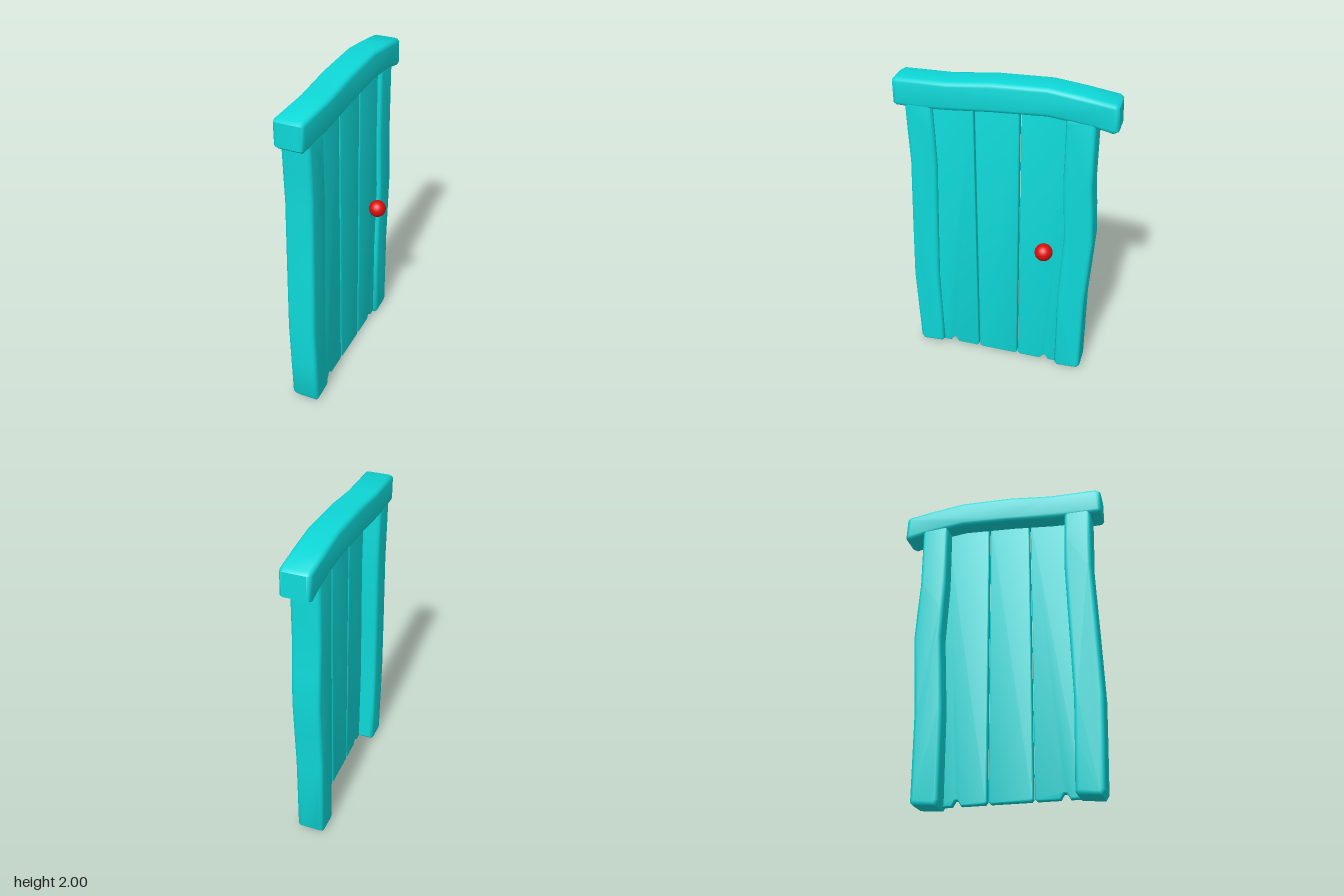
import * as THREE from 'three';
import { toCreasedNormals } from 'three/addons/utils/BufferGeometryUtils.js';

const wood = new THREE.MeshStandardMaterial({ color: 0x0ed8d8 });
const red = new THREE.MeshStandardMaterial({ color: 0xdd0c0c });

// Softly bevelled board: outline in the door plane, thickness from x0 to x1.
function board(name, outline, x0, x1, bevel) {
  const shape = new THREE.Shape(outline.map(([u, y]) => new THREE.Vector2(u, y)));
  const geometry = new THREE.ExtrudeGeometry(shape, {
    depth: x1 - x0 - 2 * bevel,
    bevelEnabled: true,
    bevelThickness: bevel,
    bevelSize: bevel,
    bevelOffset: -bevel,
    bevelSegments: 3,
  });
  geometry.translate(0, 0, x0 + bevel);
  geometry.rotateY(Math.PI / 2); // outline u runs along -z
  const mesh = new THREE.Mesh(toCreasedNormals(geometry, 0.75), wood);
  mesh.name = name;
  return mesh;
}

// Crooked upright: rows of [y, left edge, right edge], with clipped lower corners.
function post(name, rows) {
  const [, a, b] = rows[0];
  const right = rows.map(([y, , r]) => [r, y]);
  const left = rows.map(([y, l]) => [l, y]).reverse();
  const foot = [[a + 0.018, 0.005], [b - 0.018, 0.015]];
  return board(name, [...foot, ...right, ...left], -0.128, 0.043, 0.022);
}

// Plank with an optional chipped notch in its lower end.
function plank(name, l, r, top, notch) {
  const y = 0.02;
  const chip = notch === undefined ? []
    : [[notch - 0.028, y], [notch - 0.008, y + 0.033], [notch + 0.008, y + 0.033], [notch + 0.028, y]];
  return board(name, [
    [l, y + 0.012], [l + 0.012, y], ...chip, [r - 0.012, y], [r, y + 0.012], [r, top], [l, top],
  ], -0.025, 0.018, 0.007);
}

export function createModel() {
  const door = new THREE.Group();
  door.name = 'door';

  // Uneven frame posts
  door.add(post('frontPost', [
    [0.035, -0.584, -0.418], [0.3, -0.593, -0.425], [0.575, -0.601, -0.431], [1.0, -0.586, -0.418],
    [1.42, -0.569, -0.404], [1.62, -0.575, -0.409], [1.83, -0.58, -0.417],
  ]));
  door.add(post('backPost', [
    [0.035, 0.353, 0.523], [0.58, 0.353, 0.523], [0.82, 0.364, 0.537], [1.05, 0.375, 0.549],
    [1.25, 0.364, 0.537], [1.43, 0.354, 0.523], [1.84, 0.354, 0.521],
  ]));

  // Bowed lintel across the top
  door.add(board('lintel', [
    [-0.648, 1.797], [-0.63, 1.782], [-0.45, 1.783], [-0.32, 1.79], [-0.07, 1.813], [0.25, 1.832],
    [0.37, 1.82], [0.515, 1.802], [0.615, 1.78], [0.643, 1.797], [0.636, 1.935], [0.618, 1.952],
    [0.44, 1.978], [0.25, 2.0], [-0.07, 1.988], [-0.33, 1.958], [-0.62, 1.952], [-0.648, 1.935],
  ], -0.13, 0.045, 0.024));

  // Thin planks set between the posts
  door.add(plank('frontPlank', -0.45, -0.177, 1.83, -0.348));
  door.add(plank('middlePlank', -0.168, 0.09, 1.86));
  door.add(plank('backPlank', 0.1, 0.39, 1.86, 0.28));

  // Round knob
  const knob = new THREE.Mesh(new THREE.SphereGeometry(0.054, 32, 20), red);
  knob.name = 'knob';
  knob.position.set(0.071, 0.95, -0.265);
  door.add(knob);

  return door;
}
